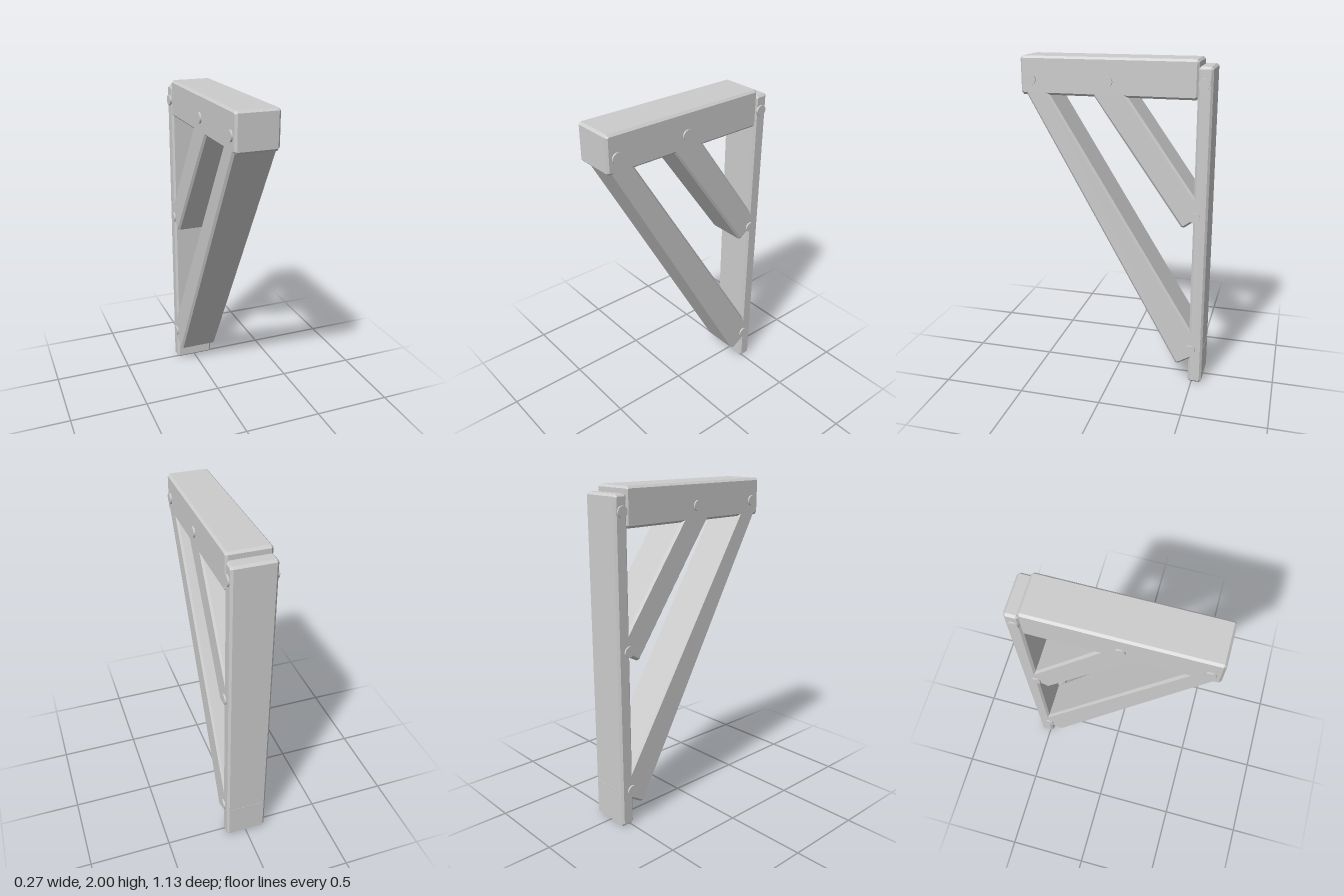
import * as THREE from 'three';

const HALF = 0.127; // half width of every timber
const BEVEL = 0.013;

// Cut each corner of a (z, y) outline
function chamferedShape(points, cut) {
  const corners = points.map(([z, y]) => new THREE.Vector2(z, y));
  const out = [];
  corners.forEach((p, i) => {
    for (const q of [corners.at(i - 1), corners[(i + 1) % corners.length]]) {
      out.push(p.clone().add(q.clone().sub(p).setLength(cut)));
    }
  });
  return new THREE.Shape(out);
}

// Timber with chamfered edges, side outline given as (z, y)
function timber(name, points, material) {
  const depth = 2 * (HALF - BEVEL);
  const geometry = new THREE.ExtrudeGeometry(chamferedShape(points, BEVEL), {
    depth, bevelEnabled: true, bevelSegments: 1,
    bevelSize: BEVEL, bevelThickness: BEVEL, bevelOffset: -BEVEL,
  });
  geometry.translate(0, 0, -depth / 2).rotateY(-Math.PI / 2);
  const mesh = new THREE.Mesh(geometry, material);
  mesh.name = name;
  return mesh;
}

const rect = (z0, z1, y0, y1) => [[z0, y0], [z1, y0], [z1, y1], [z0, y1]];

export function createModel() {
  const group = new THREE.Group();
  group.name = 'bracket';
  const grey = new THREE.MeshStandardMaterial({ color: 0xcccccc });
  grey.name = 'grey';

  // Horizontal beam, wall post and the two diagonal braces
  group.add(
    timber('topBeam', rect(-0.483, 0.57, 1.777, 2), grey),
    timber('wallPost', rect(-0.562, -0.477, 0, 1.962), grey),
    timber('longBrace', [[-0.4, 0.11], [0.56, 1.82], [0.42, 1.82], [-0.57, 0.215]], grey),
    timber('shortBrace', [[-0.413, 1.017], [0.15, 1.815], [-0.053, 1.815], [-0.55, 1.117]], grey),
  );

  // Round pegs on both sides: z, y
  const pegGeometry = new THREE.CylinderGeometry(0.032, 0.032, 0.02, 24).rotateZ(Math.PI / 2);
  const pegs = [[0.508, 1.865], [0.043, 1.865], [-0.487, 1.093], [-0.487, 0.225], [-0.515, 1.87]];
  for (const [z, y] of pegs) {
    for (const side of [-1, 1]) {
      const peg = new THREE.Mesh(pegGeometry, grey);
      peg.name = side > 0 ? 'leftPeg' : 'rightPeg';
      peg.position.set(side * 0.127, y, z);
      group.add(peg);
    }
  }
  return group;
}
